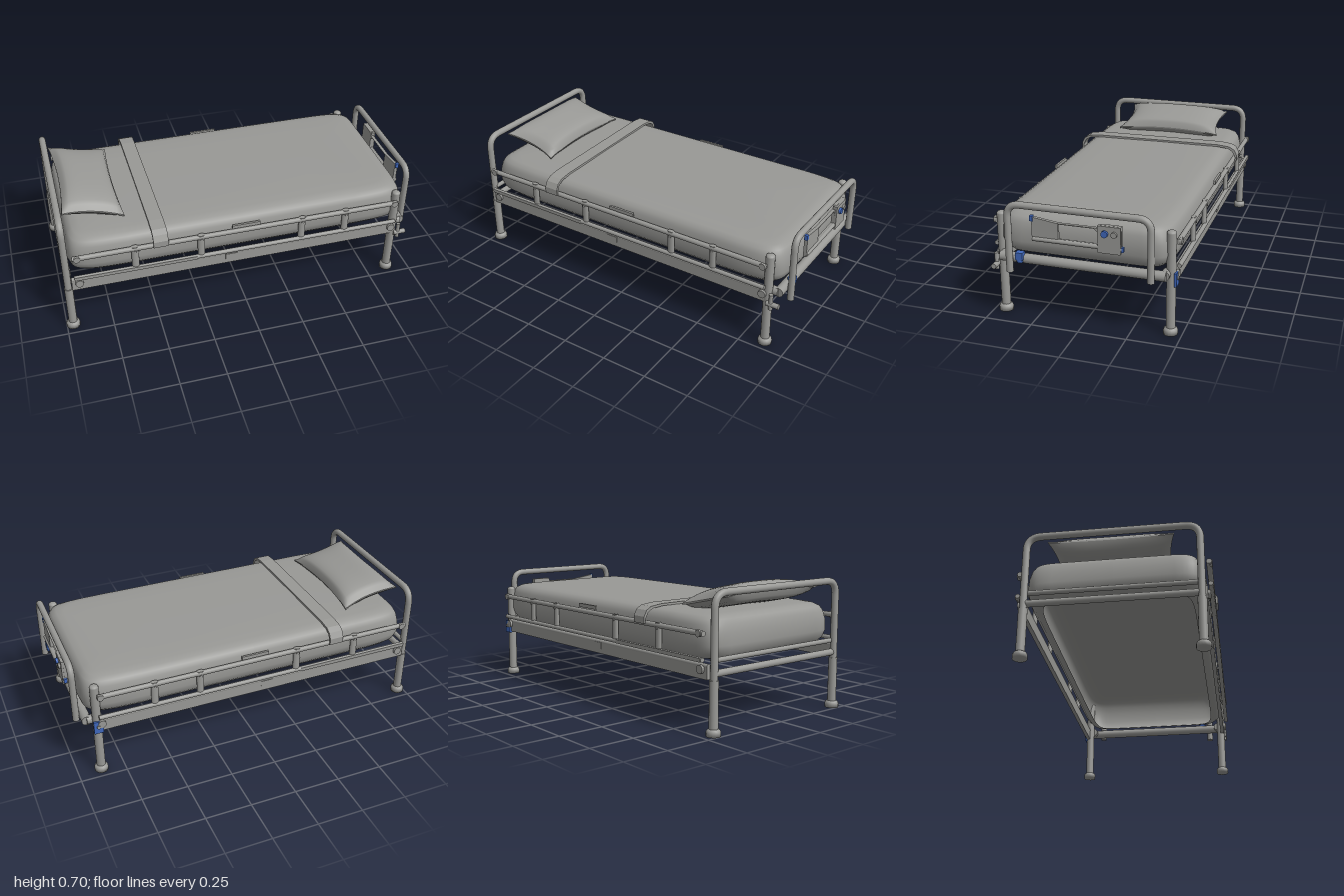
import * as THREE from 'three';

const gray = new THREE.MeshStandardMaterial({ name: 'gray', color: 0x999996, side: THREE.DoubleSide });
const blue = new THREE.MeshStandardMaterial({ name: 'blue', color: 0x3f68bd });
const V = (x, y, z) => new THREE.Vector3(x, y, z);

export function createModel() {
  const bed = new THREE.Group();
  bed.name = 'hospitalBed';

  const add = (name, geo, x = 0, y = 0, z = 0, mat = gray) => {
    const m = new THREE.Mesh(geo, mat);
    m.name = name;
    m.position.set(x, y, z);
    bed.add(m);
    return m;
  };
  const box = (name, w, h, d, x, y, z, mat) => add(name, new THREE.BoxGeometry(w, h, d), x, y, z, mat);
  // Round bar between two points
  const bar = (name, a, b, r, mat, sides = 16) => {
    const dir = b.clone().sub(a);
    const m = add(name, new THREE.CylinderGeometry(r, r, dir.length(), sides), 0, 0, 0, mat);
    m.position.copy(a).add(b).multiplyScalar(0.5);
    m.quaternion.setFromUnitVectors(V(0, 1, 0), dir.normalize());
    return m;
  };
  // Bent tube: inverted U lying in a plane of constant x
  const hoop = (name, x, z, top, yFront, yBack, corner, r) => {
    const path = new THREE.CurvePath();
    path.add(new THREE.LineCurve3(V(x, yFront, z), V(x, top - corner, z)));
    path.add(new THREE.QuadraticBezierCurve3(V(x, top - corner, z), V(x, top, z), V(x, top, z - corner)));
    path.add(new THREE.LineCurve3(V(x, top, z - corner), V(x, top, corner - z)));
    path.add(new THREE.QuadraticBezierCurve3(V(x, top, corner - z), V(x, top, -z), V(x, top - corner, -z)));
    path.add(new THREE.LineCurve3(V(x, top - corner, -z), V(x, yBack, -z)));
    add(name, new THREE.TubeGeometry(path, 120, r, 14));
    for (const [y, s] of [[yFront, 1], [yBack, -1]]) {
      const cap = add(name + 'End', new THREE.CircleGeometry(r, 14), x, y, z * s);
      cap.rotation.x = Math.PI / 2;
    }
  };

  // Mattress: rounded rectangles stacked into an open-bottomed shell
  const rings = [[0.345, 0.07], [0.355, 0.035], [0.38, 0.012], [0.42, 0], [0.48, 0.003], [0.52, 0.012],
    [0.545, 0.025], [0.56, 0.05], [0.567, 0.09], [0.57, 0.2], [0.572, 0.44]];
  const seg = 72, pos = [], idx = [];
  rings.forEach(([y, inset], k) => {
    for (let i = 0; i < seg; i++) {
      const t = (i / seg) * Math.PI * 2, c = Math.cos(t), s = Math.sin(t);
      const e = 0.16;
      pos.push(-0.007 + (0.943 - inset) * Math.sign(c) * Math.abs(c) ** e, y, (0.457 - inset) * Math.sign(s) * Math.abs(s) ** e);
      if (k < rings.length - 1) {
        const j = (i + 1) % seg, a = k * seg + i, b = k * seg + j;
        idx.push(a, a + seg, b, b, a + seg, b + seg);
      }
    }
  });
  const last = (rings.length - 1) * seg;
  pos.push(0, 0.572, 0);
  for (let i = 0; i < seg; i++) idx.push(last + i, last + seg, last + ((i + 1) % seg));
  const mattress = new THREE.BufferGeometry();
  mattress.setAttribute('position', new THREE.Float32BufferAttribute(pos, 3));
  mattress.setIndex(idx);
  mattress.computeVertexNormals();
  add('mattress', mattress);

  // Pillow: swollen box with pinched seams and pointed corners
  const pillow = new THREE.BoxGeometry(2, 2, 2, 18, 2, 24);
  const p = pillow.attributes.position;
  for (let i = 0; i < p.count; i++) {
    const u = p.getX(i), v = p.getY(i), w = p.getZ(i);
    const puff = Math.sqrt(Math.max(0, (1 - u ** 4) * (1 - w ** 4)));
    const x = u * (0.165 - 0.02 * (1 - w * w)), z = w * (0.32 - 0.03 * (1 - u * u));
    p.setXYZ(i, x, v * (0.004 + 0.05 * puff) + 0.013 * (1 - w * w), z);
  }
  pillow.computeVertexNormals();
  add('pillow', pillow, -0.782, 0.622, -0.013).rotation.z = -0.22;

  // Strap folded over the mattress and both side rails
  const strap = new THREE.Shape();
  const over = [[0.497, 0.49], [0.497, 0.525], [0.48, 0.557], [0.45, 0.574], [0.38, 0.582]];
  const under = over.map(([z, y]) => [z - 0.01, y - 0.012]);
  under[0][1] = 0.49;
  const flip = (l) => l.map(([z, y]) => [-z, y]).reverse();
  strap.setFromPoints([...over, ...flip(over), ...under.map(([z, y]) => [-z, y]), ...flip(under).map(([z, y]) => [-z, y])]
    .map(([z, y]) => new THREE.Vector2(z, y)));
  const strapGeo = new THREE.ExtrudeGeometry(strap, { depth: 0.08, bevelEnabled: false });
  strapGeo.translate(0, 0, -0.04);
  add('strap', strapGeo, -0.473, 0, 0).rotation.y = -Math.PI / 2 + 0.012;

  // Flared rubber foot, used under each leg
  const footGeo = new THREE.LatheGeometry([[0, 0], [0.037, 0], [0.037, 0.02], [0.033, 0.03], [0.024, 0.036]]
    .map(([r, y]) => new THREE.Vector2(r, y)), 16);

  // Head and foot ends
  hoop('headHoop', -0.966, 0.436, 0.682, 0.26, 0.26, 0.075, 0.019);
  hoop('footHoop', 0.966, 0.365, 0.626, 0.266, 0.304, 0.065, 0.018);
  bar('headLowerBar', V(-0.962, 0.3, -0.43), V(-0.962, 0.3, 0.43), 0.018);
  bar('headUpperBar', V(-0.955, 0.362, -0.44), V(-0.955, 0.362, 0.44), 0.013);
  bar('footCrossbar', V(0.925, 0.328, -0.43), V(0.925, 0.328, 0.43), 0.026);

  for (const s of [1, -1]) {
    // Legs and posts
    add('headFoot', footGeo, -0.965, 0, s * 0.436);
    add('footFoot', footGeo, 0.875, 0, s * 0.441);
    bar('headLeg', V(-0.965, 0.02, s * 0.436), V(-0.965, 0.27, s * 0.436), 0.023);
    bar('footPost', V(0.875, 0.02, s * 0.441), V(0.875, 0.535, s * 0.441), 0.024);
    add('postCap', new THREE.SphereGeometry(0.024, 16, 8, 0, Math.PI * 2, 0, Math.PI / 2), 0.875, 0.535, s * 0.441).scale.y = 0.6;
    bar('cornerBracket', V(0.875, 0.328, s * 0.42), V(0.925, 0.328, s * 0.42), 0.024);
    bar('hoopBracket', V(0.925, 0.328, s * 0.365), V(0.966, 0.328, s * 0.365), 0.014);

    // Side frame
    box('sideBeam', 1.82, 0.064, 0.022, -0.035, 0.303, s * 0.452);
    bar('sideBeamLip', V(-0.945, 0.335, s * 0.452), V(0.875, 0.335, s * 0.452), 0.012);
    box('beamPlate', 0.066, 0.034, 0.006, -0.078, 0.316, s * 0.464);

    // Guard rail
    bar('guardTopRail', V(-0.93, 0.491, s * 0.473), V(0.87, 0.491, s * 0.473), 0.014);
    bar('guardBottomRail', V(-0.93, 0.366, s * 0.478), V(0.87, 0.366, s * 0.478), 0.012);
    box('guardBottomStrip', 0.65, 0.02, 0.006, -0.6, 0.366, s * 0.488);
    for (const x of [-0.603, -0.248, 0.315, 0.567]) {
      const post = bar('guardPost', V(x, 0.366, s * 0.472), V(x, 0.505, s * 0.472), 0.02);
      post.scale.z = 0.65;
      bar('guardBolt', V(x, 0.478, s * 0.48), V(x, 0.478, s * 0.489), 0.008, gray, 10);
    }
    box('releaseHandle', 0.155, 0.02, 0.012, 0.0, 0.521, s * 0.472);
    for (const x of [-0.905, 0.855]) {
      bar('railEndBolt', V(x, 0.491, s * 0.475), V(x, 0.491, s * 0.489), 0.018, gray, 12);
      bar('beamBolt', V(x, 0.318, s * 0.455), V(x, 0.318, s * 0.477), 0.022, gray, 12);
    }
  }

  // Control panel on the foot end with a grip opening
  const panel = new THREE.Shape();
  [[-0.235, 0.45], [-0.235, 0.575], [-0.1, 0.556], [0.105, 0.556], [0.12, 0.575], [0.222, 0.575], [0.222, 0.45]]
    .forEach(([a, y], i) => (i ? panel.lineTo(a, y) : panel.moveTo(a, y)));
  const grip = new THREE.Path();
  [[-0.098, 0.472], [0.105, 0.472], [0.105, 0.535], [0.085, 0.552], [-0.098, 0.552]]
    .forEach(([a, y], i) => (i ? grip.lineTo(a, y) : grip.moveTo(a, y)));
  panel.holes.push(grip);
  const panelGeo = new THREE.ExtrudeGeometry(panel, { depth: 0.018, bevelEnabled: false });
  add('controlPanel', panelGeo, 0.957, 0, 0).rotation.y = Math.PI / 2;
  bar('panelLowerBar', V(0.972, 0.462, 0.232), V(0.972, 0.462, -0.225), 0.012);
  box('controlBox', 0.024, 0.138, 0.115, 0.973, 0.505, -0.163);
  bar('blueKnob', V(0.98, 0.537, -0.143), V(0.998, 0.537, -0.143), 0.017, blue);
  bar('grayKnob', V(0.98, 0.537, -0.19), V(0.996, 0.537, -0.19), 0.015);
  box('panelUpperTab', 0.018, 0.028, 0.016, 0.968, 0.567, 0.236, blue);
  box('panelLowerTab', 0.018, 0.024, 0.012, 0.972, 0.461, -0.228, blue);

  // Blue catches and the crank at the foot corners
  box('crossbarCatch', 0.035, 0.04, 0.038, 0.945, 0.348, 0.317, blue);
  bar('crossbarCatchTip', V(0.945, 0.315, 0.317), V(0.945, 0.335, 0.317), 0.018, blue);
  box('cornerCatch', 0.05, 0.072, 0.012, 0.875, 0.3, -0.467, blue);
  bar('cornerCatchBolt', V(0.875, 0.305, -0.47), V(0.875, 0.305, -0.48), 0.01);
  bar('crankShaft', V(0.88, 0.27, 0.464), V(0.95, 0.27, 0.464), 0.014);
  bar('crankGrip', V(0.905, 0.24, 0.466), V(0.905, 0.33, 0.466), 0.011);
  return bed;
}
